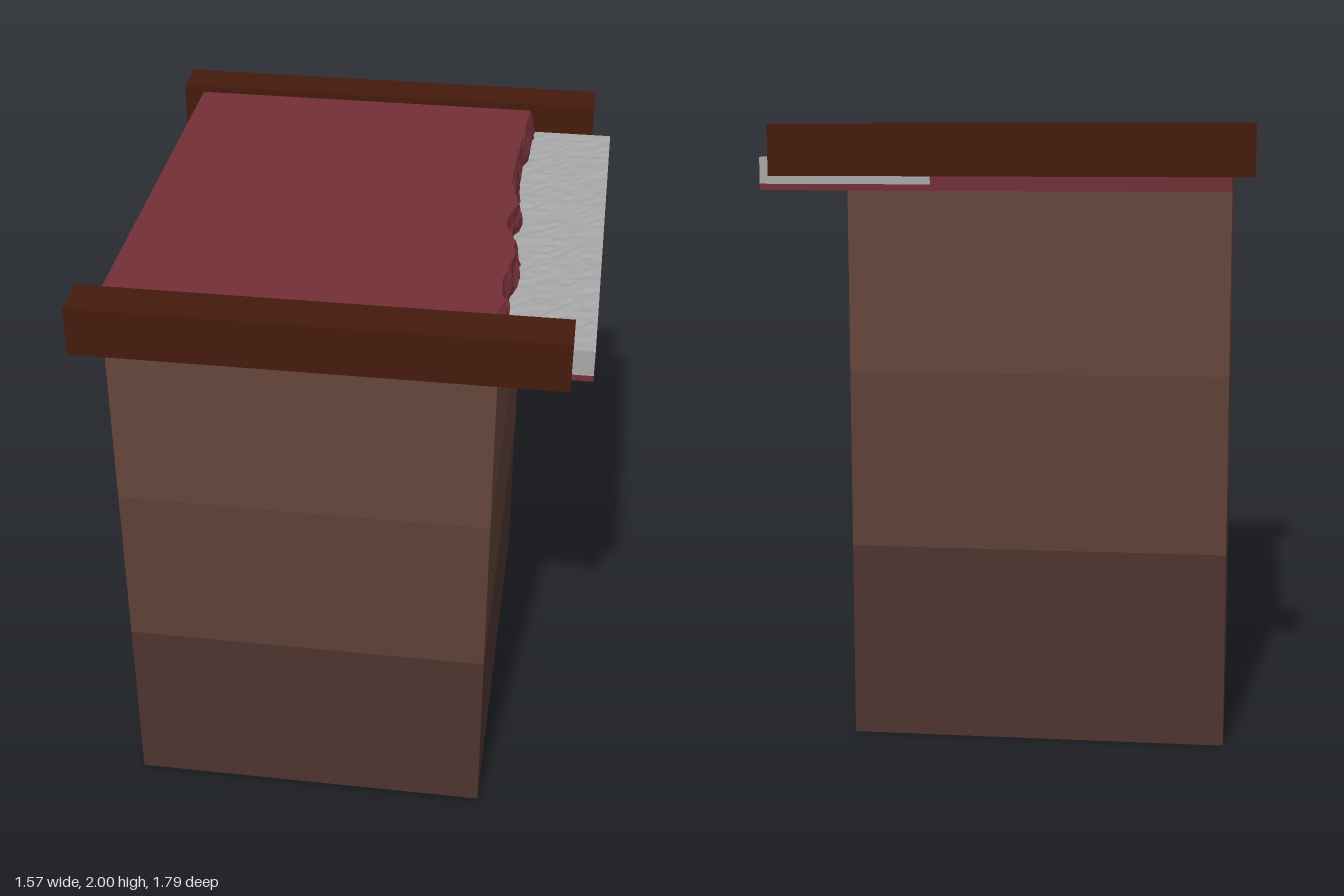
import * as THREE from 'three';

const DEPTH = 1.5; // length of body and lid along z
const mat = (color) => new THREE.MeshStandardMaterial({ color, flatShading: true });

// Box given by its x, y and z limits
function box(name, color, [x0, x1], [y0, y1], [z0, z1], segs = [1, 1, 1]) {
  const geo = new THREE.BoxGeometry(x1 - x0, y1 - y0, z1 - z0, ...segs);
  geo.translate((x0 + x1) / 2, (y0 + y1) / 2, (z0 + z1) / 2);
  const mesh = new THREE.Mesh(geo, mat(color));
  mesh.name = name;
  return mesh;
}

// Repeatable noise in -1..1
const noise = (a, b) => {
  const s = Math.sin(a * 127.1 + b * 311.7) * 43758.5453;
  return (s - Math.floor(s)) * 2 - 1;
};

// x of the torn edge, as [z, x] pairs
const tear = [[-0.75, 0.5], [-0.55, 0.495], [-0.4, 0.475], [-0.15, 0.485], [0, 0.505],
  [0.11, 0.475], [0.25, 0.515], [0.36, 0.52], [0.5, 0.495], [0.6, 0.51], [0.75, 0.5]];
function tearX(z) {
  let i = 1;
  while (i < tear.length - 1 && z > tear[i][0]) i++;
  const [[za, xa], [zb, xb]] = [tear[i - 1], tear[i]];
  return THREE.MathUtils.lerp(xa, xb, (z - za) / (zb - za));
}

// Stepped lid: thick at -x, torn edge, thin tongue below the slab
function lid() {
  const profile = [[-0.715, 1.79], [0.785, 1.79], [0.785, 1.81], [0.235, 1.81], [0.235, 1.89],
    [0.51, 1.89], [0.508, 1.92], [0.5, 1.95], [0.49, 1.977], [-0.715, 1.977]];
  const shape = new THREE.Shape(profile.map(([x, y]) => new THREE.Vector2(x, y)));
  const geo = new THREE.ExtrudeGeometry(shape, { depth: DEPTH, steps: 48, bevelEnabled: false });
  geo.translate(0, 0, -DEPTH / 2);
  const p = geo.attributes.position;
  for (let i = 0; i < p.count; i++) {
    const x = p.getX(i), y = p.getY(i), z = p.getZ(i);
    if (x < 0.45 || x > 0.6) continue;
    const row = Math.round(z * 32), level = Math.round(y * 100);
    p.setX(i, x + tearX(z) - 0.5 + noise(row, level) * 0.007);
    if (y > 1.9 && y < 1.96) p.setY(i, y + noise(row, level + 7) * 0.01);
  }
  geo.computeVertexNormals();
  const mesh = new THREE.Mesh(geo, mat(0x722f37));
  mesh.name = 'tornLid';
  return mesh;
}

// Slab with a slightly rough top
function slab() {
  const mesh = box('roughSlab', 0xa8a8a8, [0.235, 0.785], [1.81, 1.895],
    [-DEPTH / 2, DEPTH / 2], [22, 1, 60]);
  const p = mesh.geometry.attributes.position;
  for (let i = 0; i < p.count; i++) {
    const x = p.getX(i), z = p.getZ(i);
    const inside = x < 0.78 && x > 0.24 && Math.abs(z) < 0.745;
    if (p.getY(i) > 1.85 && inside) {
      p.setY(i, 1.894 + 0.003 * noise(Math.round(x * 40), Math.round(z * 40)));
    }
  }
  mesh.geometry.computeVertexNormals();
  return mesh;
}

export function createModel() {
  const model = new THREE.Group();
  model.name = 'layeredBlock';

  // Body in three stacked bands
  const levels = [0, 0.635, 1.21, 1.79];
  const names = ['lowerBand', 'middleBand', 'upperBand'];
  [0x4e342e, 0x5d4037, 0x65453b].forEach((color, i) => {
    model.add(box(names[i], color, [-0.715, 0.5], [levels[i], levels[i + 1]],
      [-DEPTH / 2, DEPTH / 2]));
  });

  model.add(lid(), slab());

  // Rails along the front and back of the lid
  model.add(box('frontRail', 0x451a0d, [-0.785, 0.72], [1.84, 2], [0.75, 0.895]));
  model.add(box('backRail', 0x451a0d, [-0.785, 0.72], [1.84, 2], [-0.895, -0.75]));
  return model;
}
